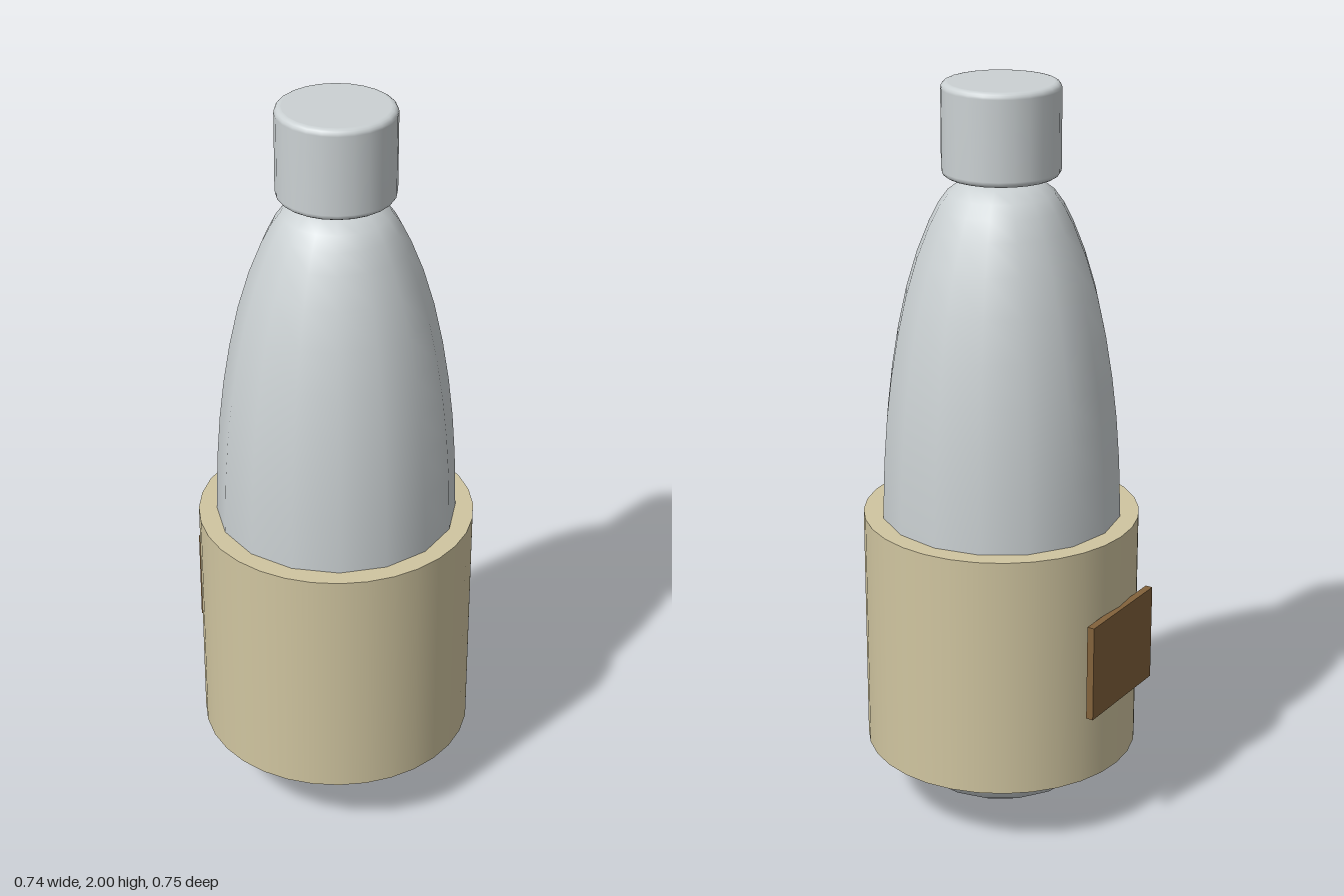
import * as THREE from 'three';

const steel = new THREE.MeshStandardMaterial({ color: 0xcbd1d3 });
steel.name = 'pale steel';
const tan = new THREE.MeshStandardMaterial({ color: 0xd0c5a0 });
tan.name = 'tan sleeve';
const brown = new THREE.MeshStandardMaterial({ color: 0x82623b });
brown.name = 'brown label';

// Turned part from [radius, height] pairs, listed from bottom to top
function lathe(name, profile, sides, material) {
  const points = profile.map(([r, y]) => new THREE.Vector2(r, y));
  const mesh = new THREE.Mesh(new THREE.LatheGeometry(points, sides), material);
  mesh.name = name;
  return mesh;
}

export function createModel() {
  const group = new THREE.Group();
  group.name = 'bottle';

  const turned = new THREE.Group();
  turned.name = 'turnedParts';
  turned.position.z = 0.005;
  group.add(turned);

  // Body: coarse rounded base and a long tapering shoulder
  turned.add(lathe('body', [
    [0, 0], [0.125, 0.02], [0.225, 0.077], [0.292, 0.175], [0.318, 0.3],
    [0.322, 0.6], [0.322, 0.84], [0.316, 1.0], [0.307, 1.12], [0.294, 1.23],
    [0.276, 1.34], [0.252, 1.45], [0.222, 1.55], [0.19, 1.63], [0.165, 1.68],
    [0.14, 1.715], [0.105, 1.742], [0.06, 1.756], [0, 1.76],
  ], 16, steel));

  // Cap: cylinder with softly rounded rims
  const r = 0.154, b = 0.016, y0 = 1.76, y1 = 2;
  const cap = [[0, y0], [r - b - 0.002, y0]];
  for (let i = 0; i <= 4; i++) {
    const a = (i / 4) * Math.PI / 2;
    cap.push([r - b + b * Math.sin(a), y0 + b - b * Math.cos(a)]);
  }
  for (let i = 0; i <= 4; i++) {
    const a = (i / 4) * Math.PI / 2;
    cap.push([r - b + b * Math.cos(a), y1 - b + b * Math.sin(a)]);
  }
  cap.push([r - b - 0.002, y1], [0, y1]);
  turned.add(lathe('cap', cap, 24, steel));

  // Sleeve around the lower body
  const sleeve = new THREE.Mesh(new THREE.CylinderGeometry(0.37, 0.37, 0.665, 32), tan);
  sleeve.name = 'sleeve';
  sleeve.position.y = 0.5075;
  turned.add(sleeve);

  // Flat label on the back of the sleeve
  const label = new THREE.Mesh(new THREE.BoxGeometry(0.309, 0.265, 0.02), brown);
  label.name = 'backLabel';
  label.position.set(0, 0.5075, -0.368);
  group.add(label);

  return group;
}
